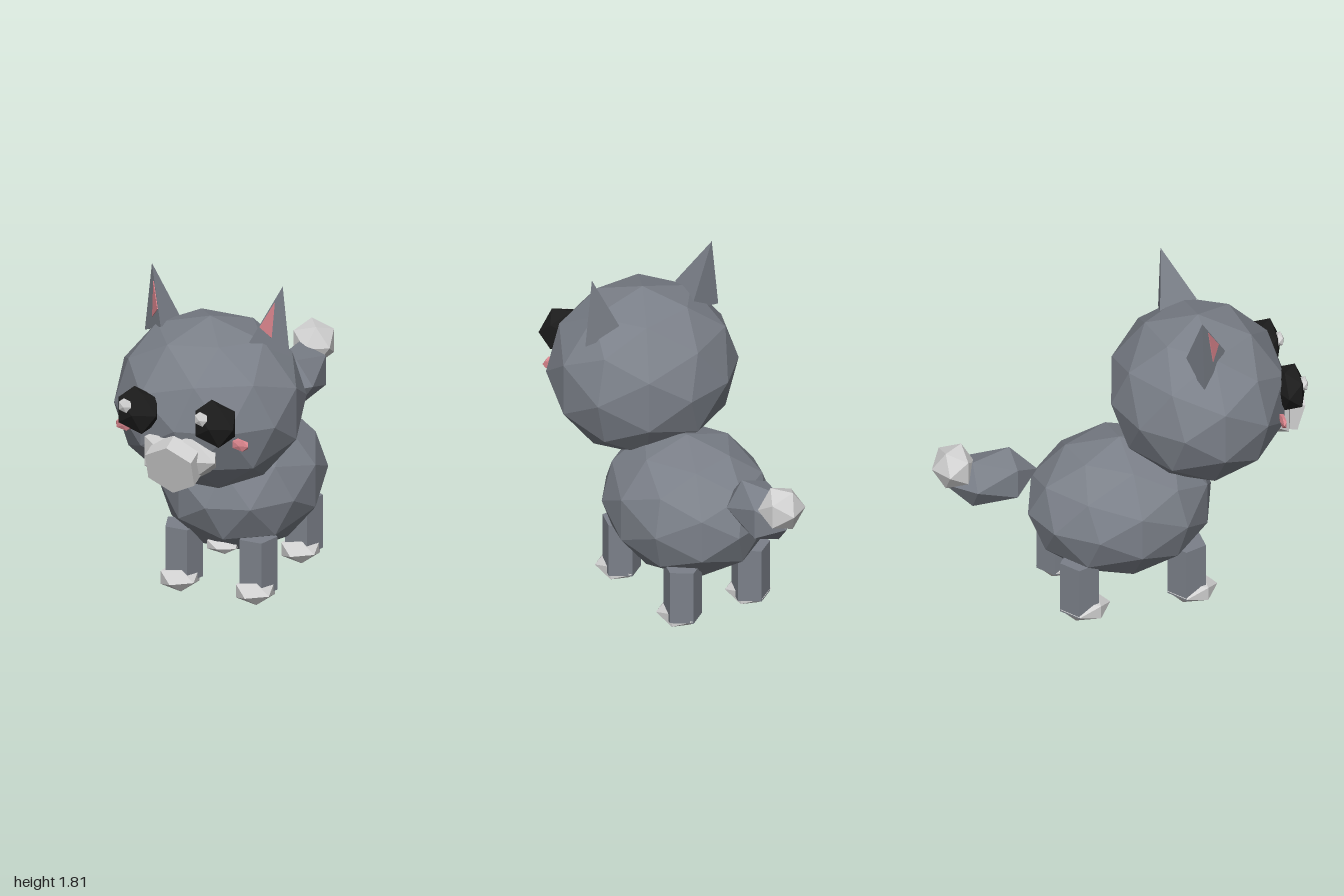
import * as THREE from 'three';
import { ConvexGeometry } from 'three/addons/geometries/ConvexGeometry.js';

function flat(name, color) {
  const m = new THREE.MeshStandardMaterial({ color, flatShading: true });
  m.name = name;
  return m;
}

export function createModel() {
  const model = new THREE.Group();
  model.name = 'fox';
  const fur = flat('grey fur', 0x7b8089);
  const white = flat('pale fur', 0xd2d2d2);
  const black = flat('black eye', 0x1c1c1c);
  const pink = flat('pink', 0xd9848c);

  function add(name, geometry, material, pos = [0, 0, 0], scale = [1, 1, 1]) {
    const mesh = new THREE.Mesh(geometry, material);
    mesh.name = name;
    mesh.position.set(...pos);
    mesh.scale.set(...scale);
    model.add(mesh);
    return mesh;
  }

  // Faceted balls with their poles pointing to the front and back
  const ball = (detail) => {
    const g = new THREE.IcosahedronGeometry(1, detail);
    g.rotateX(Math.atan(2 / (1 + Math.sqrt(5))));
    g.rotateZ(Math.PI / 2);
    g.computeVertexNormals();
    return g;
  };
  const coarse = ball(0);
  const fine = ball(1);

  // Body, belly patch and head
  add('body', fine, fur, [0, 0.545, 0.015], [0.428, 0.385, 0.495]);
  add('bellyPatch', coarse, white, [0.02, 0.275, 0.33], [0.1, 0.045, 0.075]);
  add('head', fine, fur, [0, 1.142, 0.44], [0.512, 0.468, 0.47]);

  // Muzzle: wide cheeks behind a hexagonal snout tilted down
  add('muzzleCheeks', coarse, white, [0, 0.99, 0.82], [0.245, 0.16, 0.13]);
  const snout = new THREE.CylinderGeometry(0.15, 0.15, 0.2, 6);
  snout.rotateX(Math.PI / 2 + 0.29);
  add('snout', snout, white, [0, 0.973, 0.864]);

  // Tail and its tip
  add('tail', coarse, fur, [0, 0.818, -0.68], [0.15, 0.159, 0.25]);
  add('tailTip', coarse, white, [0, 0.925, -0.883], [0.126, 0.126, 0.117]);

  // Five-sided legs with paws reaching forward
  const leg = new THREE.CylinderGeometry(0.105, 0.105, 0.3, 5);
  leg.rotateY(Math.PI);

  for (const side of [1, -1]) {
    const label = side > 0 ? 'left' : 'right';

    for (const [end, z] of [['Front', 0.315], ['Back', -0.265]]) {
      add(label + end + 'Leg', leg, fur, [side * 0.21, 0.2, z]);
      add(label + end + 'Paw', coarse, white, [side * 0.213, 0.06, z + 0.03], [0.115, 0.0706, 0.135]);
    }

    // Eyes, with a glint on the same side of each, and blush spots
    add(label + 'Eye', coarse, black, [side * 0.218, 1.212, 0.87], [0.132, 0.135, 0.085]);
    add(label + 'EyeGlint', coarse, white, [side * 0.215 - 0.05, 1.252, 0.93], [0.042, 0.042, 0.025]);
    add(label + 'Blush', coarse, pink, [side * 0.328, 1.083, 0.8], [0.055, 0.038, 0.017]);

    // Ear: a pointed four-cornered solid
    const v = (x, y, z) => new THREE.Vector3(side * x, y, z);
    const outer = v(0.41, 1.42, 0.35);
    const front = v(0.25, 1.53, 0.51);
    const back = v(0.21, 1.47, 0.3);
    const tip = v(0.37, 1.805, 0.35);
    add(label + 'Ear', new ConvexGeometry([outer, front, back, tip]), fur);

    // Thin pink plate on the outward face of the ear
    const normal = new THREE.Vector3()
      .crossVectors(front.clone().sub(outer), tip.clone().sub(outer))
      .normalize();
    if (normal.z < 0) normal.negate();
    const plate = [];
    for (const [a, b, c] of [[0.03, 0.25, 0.72], [0.02, 0.7, 0.28], [0.4, 0.42, 0.18]]) {
      const p = new THREE.Vector3()
        .addScaledVector(outer, a)
        .addScaledVector(front, b)
        .addScaledVector(tip, c);
      plate.push(p.clone().addScaledVector(normal, -0.003), p.clone().addScaledVector(normal, 0.004));
    }
    add(label + 'InnerEar', new ConvexGeometry(plate), pink);
  }

  return model;
}
